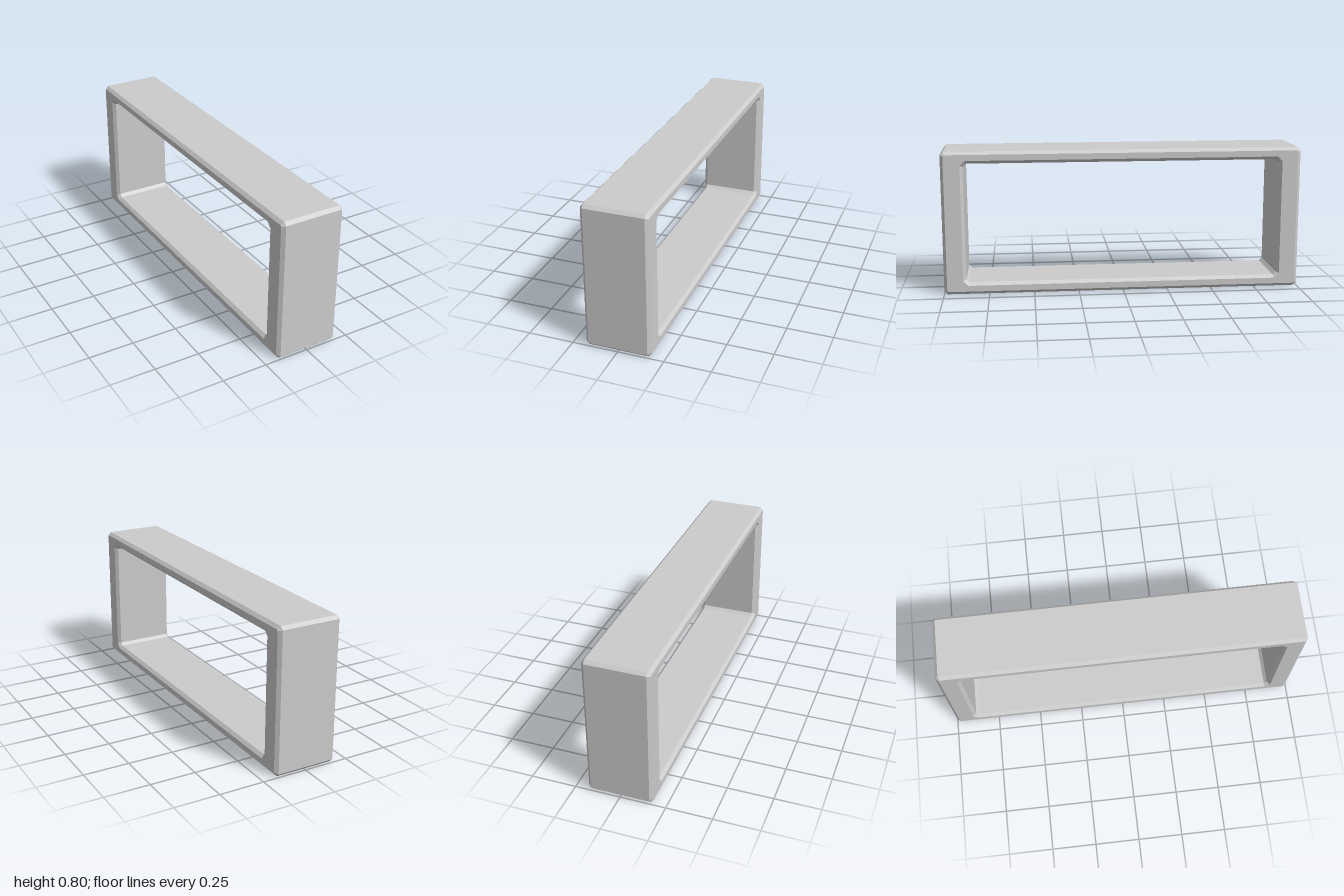
import * as THREE from 'three';

const BEVEL = 0.017;

// Corner points of a rectangle whose four corners are cut at 45 degrees
function cutRectangle(halfWidth, halfHeight, cut) {
  const points = [];
  for (const [sx, sy] of [[1, 1], [-1, 1], [-1, -1], [1, -1]]) {
    const side = new THREE.Vector2(sx * halfWidth, sy * (halfHeight - cut));
    const end = new THREE.Vector2(sx * (halfWidth - cut), sy * halfHeight);
    points.push(...(sx * sy > 0 ? [side, end] : [end, side]));
  }
  return points;
}

export function createModel() {
  const group = new THREE.Group();
  group.name = 'openFrame';

  // Outer outline with a rectangular opening, both cut at the corners
  const outline = new THREE.Shape(cutRectangle(1, 0.4, BEVEL));
  outline.holes.push(new THREE.Path(cutRectangle(0.877, 0.333, BEVEL).reverse()));

  // Extruded through the thickness; the bevel cuts inward from the outline
  const depth = 0.358 - 2 * BEVEL;
  const geometry = new THREE.ExtrudeGeometry(outline, {
    depth,
    bevelEnabled: true,
    bevelSegments: 1,
    bevelThickness: BEVEL,
    bevelSize: BEVEL,
    bevelOffset: -BEVEL,
  });
  geometry.translate(0, 0, -depth / 2);
  geometry.rotateY(Math.PI / 2);
  geometry.translate(0, 0.4, 0);

  const frame = new THREE.Mesh(
    geometry,
    new THREE.MeshStandardMaterial({ color: 0xcccccc, flatShading: true }),
  );
  frame.name = 'frame';
  group.add(frame);
  return group;
}
